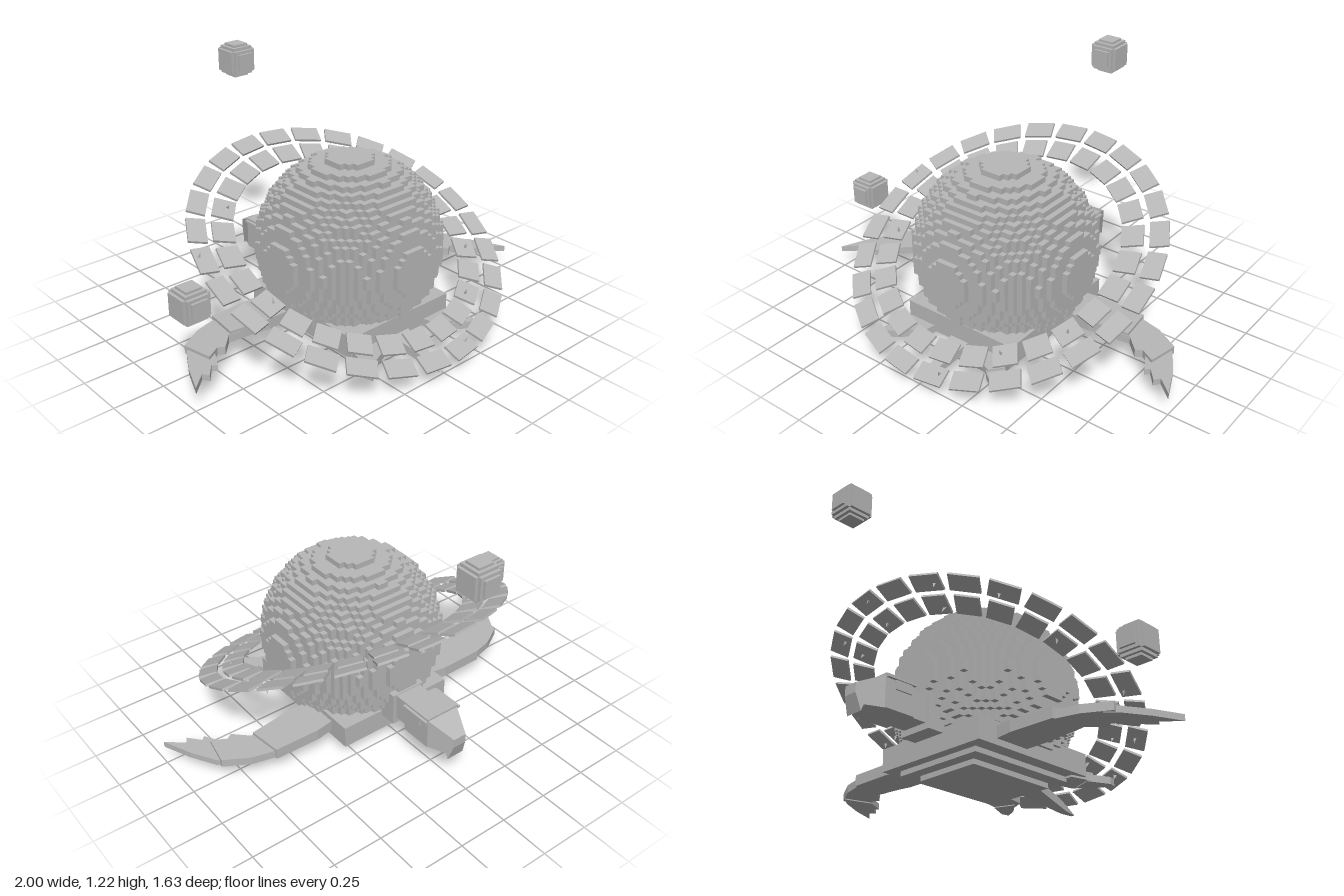
import * as THREE from 'three';
import { mergeGeometries } from 'three/addons/utils/BufferGeometryUtils.js';

const stone = new THREE.MeshStandardMaterial({ color: 0xb8b8b8 });
stone.name = 'stone grey';

let seed = 7;
const rand = () => (seed = (seed * 16807) % 2147483647) / 2147483647;

function add(parent, name, geometry) {
  const mesh = new THREE.Mesh(geometry, stone);
  mesh.name = name;
  parent.add(mesh);
  return mesh;
}

// box from its minimum and maximum corners
function box(x0, x1, y0, y1, z0, z1) {
  return new THREE.BoxGeometry(x1 - x0, y1 - y0, z1 - z0)
    .translate((x0 + x1) / 2, (y0 + y1) / 2, (z0 + z1) / 2);
}

// flat slab with an outline of [x, z] points
function slab(points, y0, y1, side = 1) {
  const shape = new THREE.Shape(points.map(([x, z]) => new THREE.Vector2(x * side, -z)));
  return new THREE.ExtrudeGeometry(shape, { depth: y1 - y0, bevelEnabled: false })
    .rotateX(-Math.PI / 2).translate(0, y0, 0);
}

// solid with a side outline of [forward, y] points, narrowing from w0 to w1 (half widths)
function sideSolid(points, w0, w1) {
  const shape = new THREE.Shape(points.map(([f, y]) => new THREE.Vector2(f, y)));
  const g = new THREE.ExtrudeGeometry(shape, { depth: 2, bevelEnabled: false })
    .rotateY(Math.PI / 2).translate(-1, 0, 0);
  const fs = points.map((p) => p[0]);
  const a = Math.min(...fs), b = Math.max(...fs);
  const p = g.attributes.position;
  for (let i = 0; i < p.count; i++) {
    const t = (-p.getZ(i) - a) / (b - a);
    p.setX(i, p.getX(i) * (w0 + (w1 - w0) * t));
  }
  g.computeVertexNormals();
  return g;
}

// stepped globe made of one column of blocks per grid cell
function globe(cx, cy, cz, n, s, floor) {
  const columns = [];
  for (let i = -n; i < n; i++) {
    for (let k = -n; k < n; k++) {
      let h = 0;
      while ((i + 0.5) ** 2 + (k + 0.5) ** 2 + (h + 0.5) ** 2 < n * n) h++;
      if (!h) continue;
      const low = Math.max(cy - h * s, floor);
      columns.push(box(cx + i * s, cx + (i + 1) * s, low, cy + h * s, cz + k * s, cz + (k + 1) * s));
    }
  }
  return mergeGeometries(columns);
}

function moon(parent, name, x, y, z) {
  const g = new THREE.Group();
  g.name = name;
  g.position.set(x, y, z);
  parent.add(g);
  const c = 0.07, m = 0.055, b = 0.04, r = 0.082;
  add(g, 'moonCore', mergeGeometries([
    box(-c, c, -m, m, -m, m),
    box(-m, m, -c, c, -m, m),
    box(-m, m, -m, m, -c, c),
    box(-b, b, -r, r, -b, b),
    box(-b, b, -b, b, -r, r),
  ]));
}

export function createModel() {
  const model = new THREE.Group();
  model.name = 'planetTurtle';

  // planet shell
  add(model, 'planetShell', globe(0, 0.432, 0.115, 16, 0.0271, 0.1));

  // body and stepped belly
  add(model, 'body', box(-0.31, 0.31, 0.07, 0.18, -0.24, 0.47));
  add(model, 'bellyUpper', box(-0.24, 0.24, 0.045, 0.07, -0.19, 0.41));
  add(model, 'bellyLower', box(-0.17, 0.17, 0.02, 0.045, -0.13, 0.36));

  // neck and head
  add(model, 'neckBase', box(-0.09, 0.09, 0.155, 0.32, -0.325, -0.1));
  add(model, 'neck', box(-0.07, 0.07, 0.185, 0.315, -0.42, -0.3));
  add(model, 'head', box(-0.09, 0.09, 0.18, 0.34, -0.57, -0.41));
  add(model, 'beak', sideSolid([
    [0.57, 0.18], [0.655, 0.18], [0.665, 0.15], [0.69, 0.23], [0.69, 0.275], [0.57, 0.33],
  ], 0.085, 0.035));
  for (const side of [-1, 1]) {
    const e = side * 0.092;
    add(model, 'eye', box(e - 0.006, e + 0.006, 0.275, 0.325, -0.52, -0.43));
    add(model, 'brow', box(e - 0.012, e + 0.012, 0.318, 0.33, -0.57, -0.41));
  }

  // tail
  add(model, 'tail', sideSolid([[-0.74, 0.003], [-0.67, 0.005], [-0.42, 0.055],
    [-0.42, 0.1], [-0.6, 0.06], [-0.67, 0.035]], 0.01, 0.06));

  for (const side of [-1, 1]) {
    // front flipper in three overlapping segments
    const front = new THREE.Group();
    front.name = 'frontFlipper';
    model.add(front);
    add(front, 'flipperShoulder', slab([[0.24, -0.12], [0.4, -0.145], [0.63, -0.14],
      [0.65, 0.03], [0.5, 0.05], [0.45, 0.06], [0.24, 0.06]], 0.1, 0.155, side));
    add(front, 'flipperMiddle', slab([[0.6, -0.135], [0.74, -0.1], [0.86, -0.03],
      [0.83, 0.12], [0.76, 0.08], [0.73, 0.1], [0.66, 0.03], [0.6, 0.04]], 0.1, 0.14, side));
    add(front, 'flipperTip', slab([[0.82, -0.05], [0.87, 0.0], [0.94, 0.12], [1, 0.26],
      [0.92, 0.19], [0.9, 0.22], [0.85, 0.16], [0.83, 0.18], [0.78, 0.09]], 0.095, 0.125, side));

    // rear flipper
    const rear = new THREE.Group();
    rear.name = 'rearFlipper';
    model.add(rear);
    add(rear, 'rearFlipperBase', slab([[0.14, 0.4], [0.28, 0.4], [0.31, 0.52],
      [0.26, 0.58], [0.17, 0.54]], 0.06, 0.1, side));
    add(rear, 'rearFlipperTip', slab([[0.2, 0.53], [0.3, 0.49], [0.35, 0.6],
      [0.34, 0.64], [0.27, 0.6]], 0.055, 0.09, side));
  }

  // tilted double ring of tiles with small shards
  const ring = new THREE.Group();
  ring.name = 'ring';
  ring.position.set(0, 0.43, 0.11);
  ring.rotation.x = THREE.MathUtils.degToRad(26);
  model.add(ring);
  const count = 26;
  for (const [name, radius, width, depth] of [
    ['outerTile', 0.735, 0.142, 0.09], ['innerTile', 0.61, 0.115, 0.105],
  ]) {
    for (let i = 0; i < count; i++) {
      const arm = new THREE.Group();
      arm.name = name + 'Arm';
      arm.rotation.y = ((i + 0.5) / count) * Math.PI * 2;
      ring.add(arm);
      const tile = add(arm, name, new THREE.BoxGeometry(width, 0.012, depth));
      tile.position.z = radius;
      if (i % 2 === 0) {
        const up = rand() < 0.5 ? 1 : -1;
        const shard = add(arm, 'shard', new THREE.ConeGeometry(0.011, 0.035, 3).toNonIndexed());
        shard.geometry.computeVertexNormals();
        shard.position.set((rand() - 0.5) * width * 0.7, up * 0.016, radius + (rand() - 0.5) * 0.05);
        shard.rotation.set(up < 0 ? Math.PI : 0, 0, (rand() - 0.5) * 0.9);
      }
    }
  }

  // two small moons
  moon(model, 'highMoon', 0, 1.14, -0.735);
  moon(model, 'sideMoon', -0.905, 0.43, 0.105);

  return model;
}
